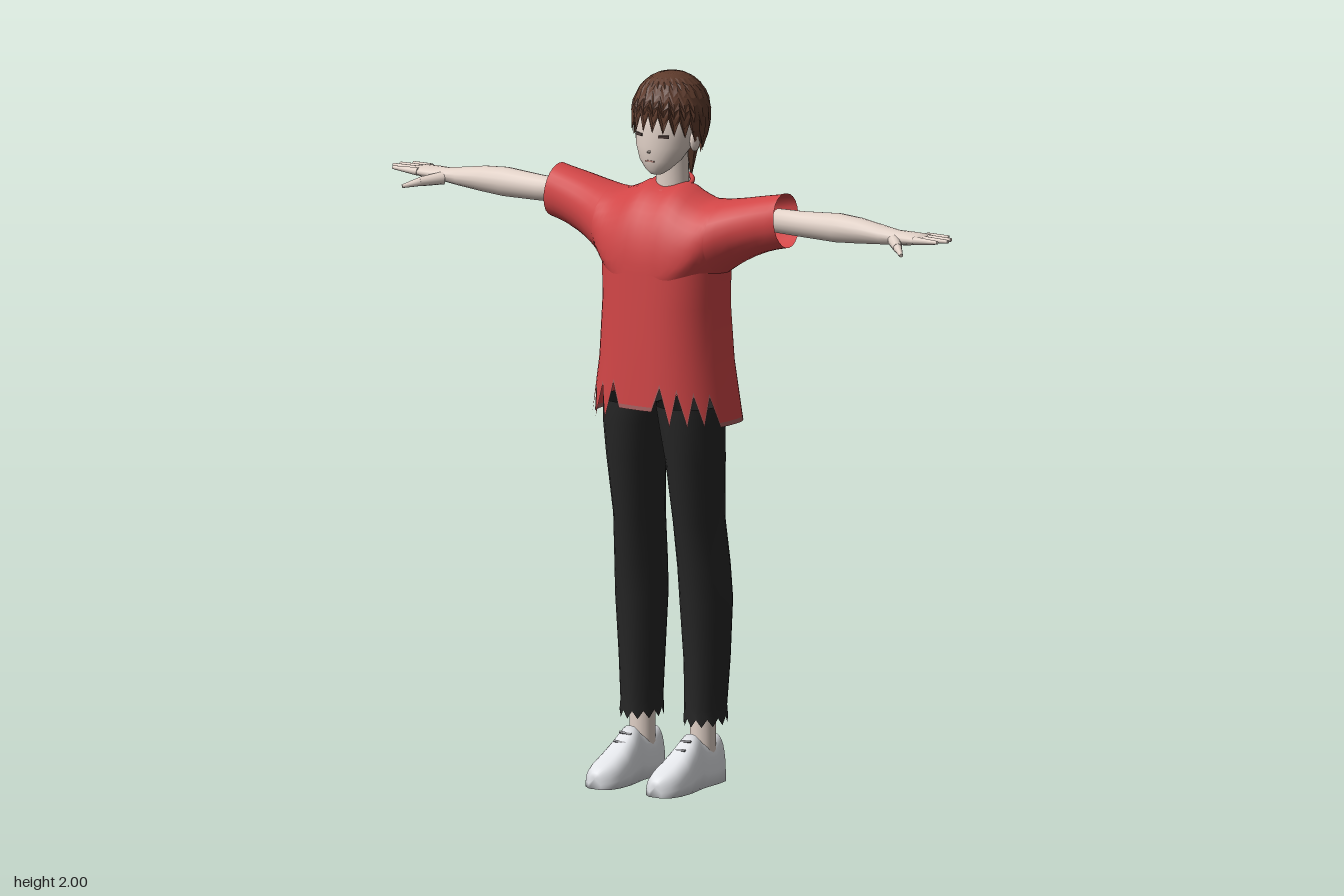
import * as THREE from 'three';
import { mergeVertices, mergeGeometries } from 'three/addons/utils/BufferGeometryUtils.js';

const mat = (name, color, flatShading = false) =>
  Object.assign(new THREE.MeshStandardMaterial({ color, side: THREE.DoubleSide, flatShading }), { name });

// linear lookup in a table of [key, value, value...] rows with rising keys
function look(table, k) {
  let i = 0;
  while (i < table.length - 2 && k > table[i + 1][0]) i++;
  const a = table[i], b = table[i + 1];
  const t = Math.min(1, Math.max(0, (k - a[0]) / (b[0] - a[0])));
  return a.slice(1).map((v, n) => v + (b[n + 1] - v) * t);
}

// surface through rows of points
function loft(rows, closed = true, capped = false) {
  if (capped) {
    const mid = r => r.map(() => [0, 1, 2].map(k => r.reduce((s, p) => s + p[k], 0) / r.length));
    rows = [mid(rows[0]), ...rows, mid(rows[rows.length - 1])];
  }
  const n = rows[0].length, index = [];
  for (let i = 0; i < rows.length - 1; i++)
    for (let j = 0; j < (closed ? n : n - 1); j++) {
      const a = i * n + j, b = i * n + (j + 1) % n, c = a + n, d = b + n;
      index.push(a, c, b, b, c, d);
    }
  const g = new THREE.BufferGeometry();
  g.setAttribute('position', new THREE.Float32BufferAttribute(rows.flat(2), 3));
  g.setIndex(index);
  g.computeVertexNormals();
  return g;
}

// horizontal oval ring
const ring = (y, x0, x1, zf, zb, n = 20) => Array.from({ length: n }, (_, j) => {
  const a = j / n * Math.PI * 2;
  return [(x0 + x1) / 2 + (x1 - x0) / 2 * Math.cos(a), y, (zf + zb) / 2 + (zf - zb) / 2 * Math.sin(a)];
});

export function createModel() {
  const model = new THREE.Group();
  model.name = 'figure';
  const skin = mat('skin', 0xe0d0c6), red = mat('shirt red', 0xd04546), hemGrey = mat('faded hem', 0xa86060);
  const black = mat('trouser black', 0x262626), white = mat('shoe white', 0xe4e6ea), lace = mat('lace grey', 0x8a8a8e);
  const brown = mat('hair brown', 0x5e3b2c, true), dark = mat('eye dark', 0x4a3a36), lip = mat('lip', 0xb98a80);
  const add = (name, g, m, x = 0, y = 0, z = 0) => {
    const mesh = new THREE.Mesh(g, m);
    mesh.name = name;
    mesh.position.set(x, y, z);
    model.add(mesh);
    return mesh;
  };

  // ---- shirt: cross-sections from sleeve to sleeve, open below into the body
  const CZ = -0.055, X0 = 0.185, N = 24;
  // |x|, centre y, top y, bottom y, front depth, back depth
  const SECTION = [
    [0, 1.45, 1.685, 1.35, 0.170, 0.075], [0.06, 1.455, 1.693, 1.35, 0.167, 0.077],
    [0.10, 1.47, 1.67, 1.37, 0.160, 0.08], [0.14, 1.50, 1.655, 1.41, 0.146, 0.083],
    [X0, 1.55, 1.658, 1.452, 0.122, 0.083], [0.23, 1.575, 1.665, 1.483, 0.098, 0.079],
    [0.30, 1.60, 1.68, 1.52, 0.078, 0.07], [0.38, 1.62, 1.695, 1.545, 0.065, 0.06]];
  const bulge = c => Math.pow(Math.max(0, 1 - Math.pow(Math.abs(c), 2.5)), 0.4);
  function section(x) {
    const [cy, top, bottom, df, db] = look(SECTION, Math.abs(x));
    const w = Math.abs(x) >= X0 - 1e-6 ? 0 : bulge(x / X0);
    const pts = [], M = 12;
    const put = (a, d, power) => {
      const s = Math.sin(a);
      const y = cy + (s > 0 ? (top - cy) * Math.pow(s, power) : (cy - bottom) * s);
      const slant = Math.abs(x) > 0.35 ? -(y - 1.62) * 0.12 * Math.sign(x) : 0;
      pts.push([x + slant, y, CZ + d * Math.cos(a)]);
    };
    const ef = Math.acos(Math.min(1, 0.17 * w / df)), eb = Math.acos(Math.min(1, 0.075 * w / db));
    for (let i = 0; i <= M; i++) put(-ef + (Math.PI / 2 + ef) * i / M, df, 1);
    for (let i = 1; i <= M; i++) put(Math.PI / 2 + (Math.PI / 2 + eb) * i / M, db, 0.65);
    return pts;
  }
  const cosines = Array.from({ length: N + 1 }, (_, j) => Math.cos(j / N * Math.PI));
  const sleeveX = [0.38, 0.35, 0.32, 0.28, 0.245, 0.21];
  const body = cosines.map(c => section(X0 * c));
  const upper = [...sleeveX.map(section), ...body, ...sleeveX.map(x => section(-x)).reverse()];

  // body of the shirt: y, half width, front depth, back depth
  const TORSO = [[1.03, 0.215, 0.187, 0.113], [1.2, 0.19, 0.181, 0.096], [1.36, 0.182, 0.174, 0.08]];
  const columns = [...cosines.map((c, j) => ({ c, j, front: true })),
    ...cosines.map((c, j) => ({ c, j, front: false })).slice(1, -1).reverse()];
  const torsoRow = yOf => columns.map(k => {
    const y = yOf(k), [hx, df, db] = look(TORSO, y);
    return [hx * k.c, y, CZ + (k.front ? df : -db) * bulge(k.c)];
  });
  // ragged hem: raised at the front centre, slits at the front corners
  const hem = ({ c, j, front }) => {
    const x = Math.abs(c);
    if (!front) return 1.03;
    if (x < 0.36) return 1.075;
    if (x < 0.95) return j % 2 ? 1.16 - 0.05 * x : 1.035;
    return 1.03;
  };
  const joint = columns.map(k => k.front ? body[k.j][0] : body[k.j][body[k.j].length - 1]);
  const lower = [joint, torsoRow(() => 1.36), torsoRow(() => 1.28), torsoRow(() => 1.2), torsoRow(k => hem(k) + 0.012)];
  const flip = loft(lower.map(r => [...r].reverse()));
  const shirt = mergeVertices(mergeGeometries([loft(upper, false), flip]), 1e-4);
  shirt.computeVertexNormals();
  add('shirt', shirt, red);
  add('shirtHem', loft([torsoRow(k => hem(k) + 0.012), torsoRow(hem)]), hemGrey);
  const collar = add('collar', new THREE.TorusGeometry(0.057, 0.007, 8, 32), red, 0, 1.684, -0.057);
  collar.rotation.x = Math.PI / 2 + 0.3;

  // ---- neck and head
  add('neck', loft([ring(1.62, -0.055, 0.055, -0.01, -0.115), ring(1.68, -0.047, 0.047, -0.015, -0.105),
    ring(1.79, -0.045, 0.045, -0.01, -0.1)]), skin);
  const HEAD = [[1.722, 0.018, 0.036, 0.005], [1.735, 0.036, 0.046, -0.02], [1.76, 0.06, 0.054, -0.055],
    [1.80, 0.08, 0.058, -0.1], [1.85, 0.088, 0.055, -0.125], [1.9, 0.088, 0.05, -0.135], [1.96, 0.06, 0.01, -0.105]];
  add('head', loft(HEAD.map(([y, x, f, b]) => ring(y, -x, x, f, b, 28)), true, true), skin);
  const nose = add('nose', new THREE.ConeGeometry(0.013, 0.04, 8), skin, 0, 1.789, 0.051);
  nose.rotation.x = Math.PI / 2;
  add('mouth', new THREE.BoxGeometry(0.028, 0.004, 0.006), lip, 0, 1.762, 0.053);

  // ---- hair: cap with a jagged edge, low at the nape
  const H = 44, capRows = [];
  for (let i = 0; i <= 10; i++) {
    capRows.push(Array.from({ length: H }, (_, j) => {
      const a = j / H * Math.PI * 2, s = Math.sin(a);
      const edge = look([[-1, 1.755], [-0.4, 1.775], [0.05, 1.80], [0.45, 1.825], [1, 1.845]], s)[0]
        + (j % 2 ? (s > 0.3 ? 0.045 : 0.018) : 0);
      const y = 2 - (2 - edge) * Math.pow(i / 10, 1.5);
      const up = (y - 1.885) / 0.115, down = (1.885 - y) / 0.13;
      let r = y > 1.885 ? Math.sqrt(Math.max(0, 1 - up * up)) : 1 - (s < 0 ? 0.3 : 0.04) * down * down;
      r *= 1 + ((j + (i >> 1)) % 2 ? 0.015 : -0.025);
      return [0.105 * r * Math.cos(a), y, -0.05 + (s > 0 ? 0.115 : 0.122) * r * s];
    }));
  }
  add('hair', loft(capRows), brown);

  // arm, leg, foot and face parts for each side
  for (const s of [1, -1]) {
    const side = s > 0 ? 'left' : 'right';
    const between = (name, p, q, r0, r1) => {
      const a = new THREE.Vector3(s * p[0], p[1], p[2]), b = new THREE.Vector3(s * q[0], q[1], q[2]);
      const d = b.clone().sub(a);
      const m = add(name, new THREE.CylinderGeometry(r1, r0, d.length(), 10), skin);
      m.position.copy(a).addScaledVector(d, 0.5);
      m.quaternion.setFromUnitVectors(new THREE.Vector3(0, 1, 0), d.normalize());
    };

    // eye, ear and nape lock
    const eye = add(side + 'Eye', new THREE.BoxGeometry(0.03, 0.008, 0.005), dark, s * 0.04, 1.833, 0.046);
    eye.rotation.y = s * 0.42;
    add(side + 'Ear', new THREE.SphereGeometry(1, 12, 10), skin, s * 0.09, 1.815, -0.035).scale.set(0.012, 0.03, 0.02);
    const lock = add(side + 'NapeLock', new THREE.ConeGeometry(0.02, 0.09, 6), brown, s * 0.028, 1.735, -0.11);
    lock.rotation.x = Math.PI;

    // arm and palm: x, centre y, half height, centre z, half depth
    const ARM = [[0.35, 1.617, 0.034, -0.055, 0.034], [0.43, 1.617, 0.036, -0.055, 0.035], [0.55, 1.62, 0.041, -0.057, 0.042],
      [0.62, 1.62, 0.036, -0.058, 0.039], [0.70, 1.617, 0.026, -0.059, 0.032], [0.745, 1.616, 0.02, -0.06, 0.028],
      [0.78, 1.617, 0.019, -0.059, 0.037], [0.82, 1.62, 0.015, -0.059, 0.042], [0.838, 1.622, 0.009, -0.06, 0.04]];
    add(side + 'Arm', loft(ARM.map(([x, y, h, z, d]) => Array.from({ length: 16 }, (_, j) => {
      const a = j / 16 * Math.PI * 2;
      return [s * x, y + h * Math.sin(a), z + d * Math.cos(a)];
    })), true, true), skin);
    [[-0.093, -0.102, 0.885], [-0.071, -0.075, 0.91], [-0.049, -0.05, 0.917], [-0.027, -0.022, 0.9]].forEach(([z0, z1, x], i) =>
      between(side + 'Finger' + (i + 1), [0.82, 1.621, z0], [x, 1.625, z1], 0.0115, 0.005));
    between(side + 'ThumbBase', [0.745, 1.61, -0.04], [0.79, 1.603, 0.01], 0.018, 0.013);
    between(side + 'Thumb', [0.786, 1.604, 0.006], [0.825, 1.592, 0.045], 0.013, 0.005);

    // trouser leg: y, inner x, outer x, front z, back z
    const LEG = [[1.08, -0.004, 0.178, 0.09, -0.125], [1.02, 0.008, 0.178, 0.088, -0.123], [0.92, 0.024, 0.172, 0.075, -0.127],
      [0.75, 0.037, 0.16, 0.05, -0.135], [0.62, 0.04, 0.168, 0.033, -0.15], [0.52, 0.04, 0.173, 0.022, -0.155],
      [0.35, 0.05, 0.165, 0.01, -0.148], [0.22, 0.053, 0.158, 0.007, -0.137], [0.18, 0.05, 0.161, 0.008, -0.138]];
    const leg = LEG.map(([y, a, b, f, k]) => ring(y, s * a, s * b, f, k, 24));
    leg[leg.length - 1].forEach((p, j) => { p[1] += j % 2 ? 0.014 : -0.008; });
    add(side + 'TrouserLeg', loft(leg), black);
    add(side + 'Ankle', new THREE.CylinderGeometry(0.036, 0.036, 0.16, 16), skin, s * 0.1, 0.17, -0.06);

    // shoe: z, half width, height
    const SHOE = [[-0.125, 0.028, 0.115], [-0.112, 0.041, 0.132], [-0.07, 0.045, 0.118], [-0.03, 0.044, 0.122], [0, 0.044, 0.148],
      [0.03, 0.048, 0.128], [0.08, 0.055, 0.095], [0.13, 0.053, 0.072], [0.16, 0.042, 0.06], [0.178, 0.02, 0.046]];
    add(side + 'Shoe', loft(SHOE.map(([z, w, h]) => Array.from({ length: 17 }, (_, j) => {
      const a = j / 16 * Math.PI, c = Math.cos(a);
      return [s * 0.1 + w * Math.sign(c) * Math.pow(Math.abs(c), 0.7), 0.004 + h * Math.pow(Math.max(0, Math.sin(a)), 0.75), z];
    })), true, true), white);
    for (const [y, z] of [[0.135, 0.026], [0.115, 0.054]]) {
      const bar = add(side + 'Lace', new THREE.BoxGeometry(0.036, 0.004, 0.006), lace, s * 0.1, y, z);
      bar.rotation.set(0.75, 0, s * 0.15);
    }
  }
  return model;
}
